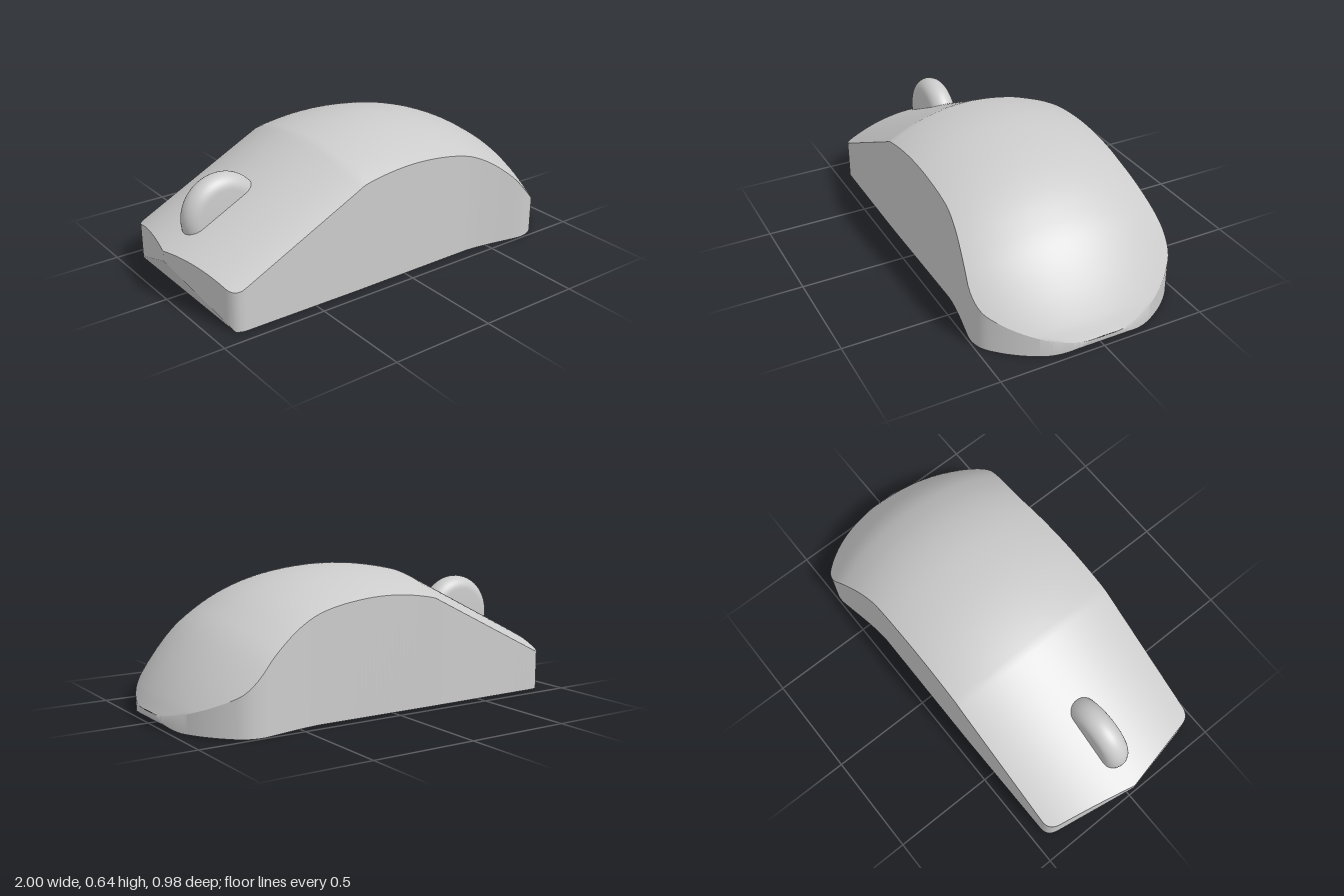
import * as THREE from 'three';
import { toCreasedNormals } from 'three/addons/utils/BufferGeometryUtils.js';

const material = new THREE.MeshStandardMaterial({ color: 0xcccccc });
const V = (x, y) => new THREE.Vector2(x, y);

// Half of the plan outline, nose (-x) to tail (+x): x and half width
function planOutline() {
  const parts = [
    [new THREE.LineCurve(V(-1, 0), V(-0.917, 0.38)), 10],
    [new THREE.QuadraticBezierCurve(V(-0.917, 0.38), V(-0.904, 0.438), V(-0.85, 0.438)), 14],
    [new THREE.LineCurve(V(-0.85, 0.438), V(-0.28, 0.443)), 20],
    [new THREE.LineCurve(V(-0.28, 0.443), V(0.38, 0.44)), 32],
    [new THREE.CubicBezierCurve(V(0.38, 0.44), V(0.48, 0.445), V(0.58, 0.47), V(0.67, 0.487)), 14],
    [new THREE.CubicBezierCurve(V(0.67, 0.487), V(0.715, 0.497), V(0.765, 0.486), V(0.8, 0.455)), 14],
  ];
  const points = [V(-1, 0)];
  for (const [curve, n] of parts) points.push(...curve.getPoints(n).slice(1));
  // Round tail, clipped at x = 1
  const R = 0.61, cx = 0.394;
  const from = Math.asin(0.455 / R), to = Math.acos((1 - cx) / R);
  for (let i = 1; i <= 32; i++) {
    const a = from + ((to - from) * i) / 32;
    points.push(V(cx + R * Math.cos(a), R * Math.sin(a)));
  }
  return points;
}

// Centre line of the hump
const hump = new THREE.CubicInterpolant(
  [-0.6, -0.42, -0.28, -0.12, 0.04, 0.2, 0.36, 0.5, 0.62, 0.75, 0.87, 0.96, 1],
  [0.47, 0.562, 0.603, 0.632, 0.642, 0.632, 0.603, 0.555, 0.492, 0.397, 0.262, 0.13, 0.056], 1);
const humpY = (x) => hump.evaluate(THREE.MathUtils.clamp(x, -0.6, 1))[0];

// Top of the shell: ramp and hump, crowned sideways at right angles to the centre line
function topHeight(x, z) {
  const drop = 1 - Math.sqrt(1 - z * z);
  const ramp = 0.6 + 0.5 * (x + 0.28) - drop * Math.hypot(1, 0.5);
  if (x < -0.45) return ramp;
  let s = x, normal;
  for (let i = 0; i < 12; i++) {
    const at = Math.min(s, 1);
    normal = V(humpY(at - 0.01) - humpY(at), 0.01).normalize();
    s = x + normal.x * drop;
  }
  return Math.min(ramp, humpY(s) - normal.y * drop);
}

// Underside: slanted at the nose, flat, rounded up at the tail
function underside(x) {
  if (x < -0.9) return 1.9 * (-0.9 - x);
  const r = 0.055, t = Math.max(0, x - 1 + r);
  return r - Math.sqrt(Math.max(0, r * r - t * t));
}

// Shell lofted from cross-sections along x
function shellGeometry() {
  const n = 40, ring = n + 3, positions = [], index = [];
  planOutline().forEach(({ x, y: w }, i) => {
    const low = underside(x);
    for (let j = 0; j <= n; j++) {
      const z = w * (1 - (2 * j) / n);
      positions.push(x, Math.max(low, topHeight(x, z)), z);
    }
    positions.push(x, low, -w, x, low, w);
    if (i === 0) return;
    for (let j = 0; j < ring; j++) {
      const k = (j + 1) % ring, a = (i - 1) * ring, b = i * ring;
      index.push(a + j, b + j, b + k, a + j, b + k, a + k);
    }
  });
  const g = new THREE.BufferGeometry();
  g.setAttribute('position', new THREE.Float32BufferAttribute(positions, 3));
  g.setIndex(index);
  return toCreasedNormals(g, 0.5);
}

// Scroll wheel: flat faces with a fully rounded rim
function wheelGeometry() {
  const R = 0.194, r = 0.064, profile = [V(0, -r)];
  for (let i = 0; i <= 16; i++) {
    const a = -Math.PI / 2 + (Math.PI * i) / 16;
    profile.push(V(R - r + r * Math.cos(a), r * Math.sin(a)));
  }
  profile.push(V(0, r));
  return toCreasedNormals(new THREE.LatheGeometry(profile, 64).rotateX(Math.PI / 2), 0.5);
}

export function createModel() {
  const group = new THREE.Group();
  group.name = 'computerMouse';

  const shell = new THREE.Mesh(shellGeometry(), material);
  shell.name = 'shell';

  const wheel = new THREE.Mesh(wheelGeometry(), material);
  wheel.name = 'scrollWheel';
  wheel.position.set(-0.705, 0.341, 0);

  group.add(shell, wheel);
  return group;
}
